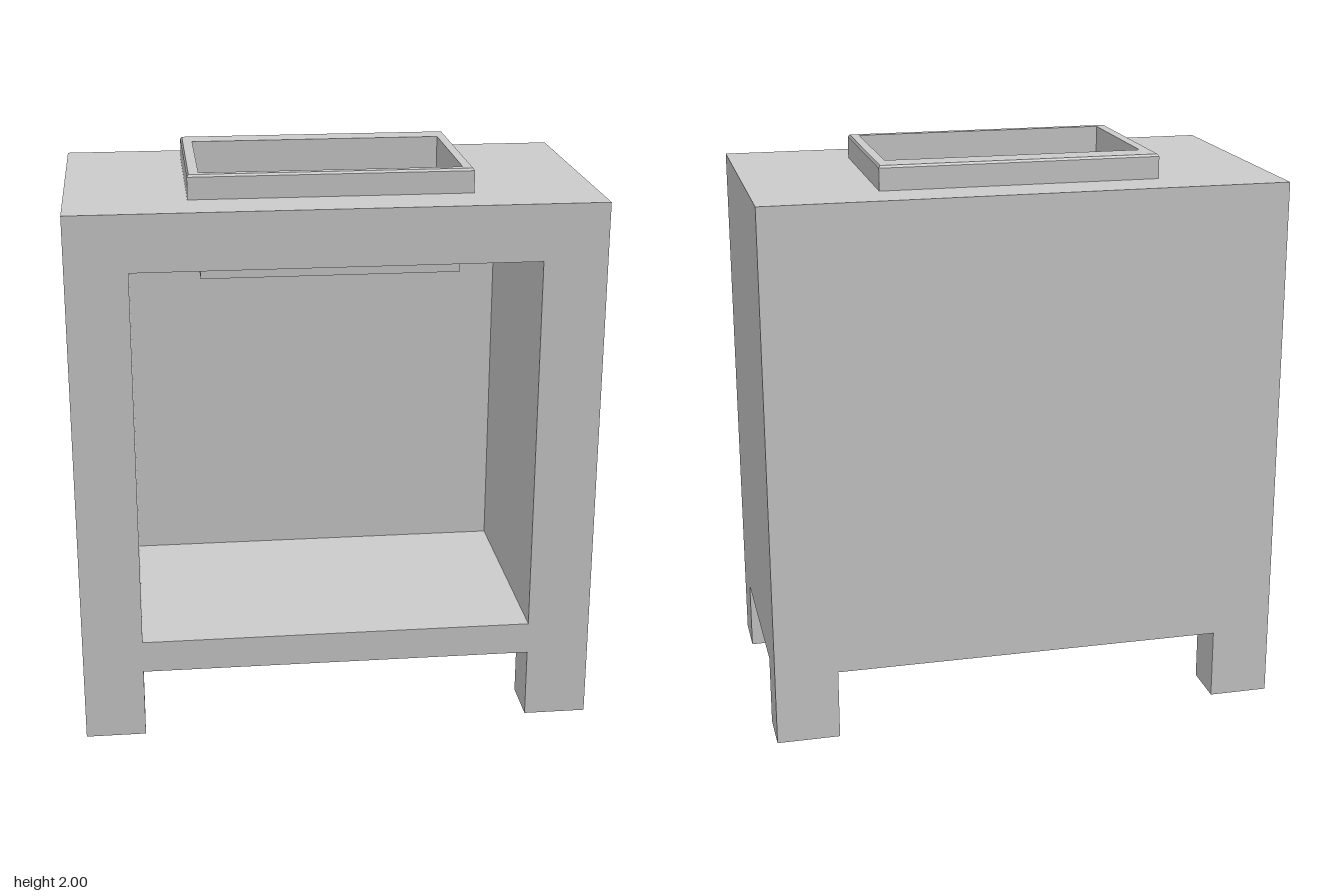
import * as THREE from 'three';

const W = 0.912, D = 0.505, TOP = 1.915, UNDER = 0.25;
const LEG = { x0: -0.70, x1: 0.69, z0: -0.337, z1: 0.325 };   // inner leg faces
const CAVITY = { y0: 0.365, y1: 1.717 };
const RIM = [-0.495, 0.482, -0.34, 0.32];                     // x0, x1, z0, z1
const BASIN = [-0.455, 0.445, -0.24, 0.287];

const solid = new THREE.MeshStandardMaterial({ color: 0xcccccc, flatShading: true });
const thin = new THREE.MeshStandardMaterial({ color: 0xcccccc, flatShading: true, side: THREE.DoubleSide });

const shapeOf = pts => new THREE.Shape(pts.map(([x, y]) => new THREE.Vector2(x, y)));
const rect = (x0, x1, y0, y1) => [[x0, y0], [x1, y0], [x1, y1], [x0, y1]];
// Plan rectangle for a panel that faces up, where local y is -z
const planRect = ([x0, x1, z0, z1]) => rect(x0, x1, -z1, -z0);

// Wall outline standing on two legs; a and b are the inner leg edges
const wall = (h, a, b) => [[-h, 0], [a, 0], [a, UNDER], [b, UNDER], [b, 0], [h, 0], [h, TOP], [-h, TOP]];

// Box keeping only the listed faces (0 +x, 1 -x, 2 +y, 3 -y, 4 +z, 5 -z)
function boxFaces(x0, x1, y0, y1, z0, z1, faces) {
  const g = new THREE.BoxGeometry(x1 - x0, y1 - y0, z1 - z0);
  g.translate((x0 + x1) / 2, (y0 + y1) / 2, (z0 + z1) / 2);
  const index = Array.from(g.index.array);
  g.setIndex(faces.flatMap(f => index.slice(f * 6, f * 6 + 6)));
  g.clearGroups();
  return g;
}

// Skin through rectangular loops [x0, x1, z0, z1, y], closed by a floor at the last one
function loftRects(loops) {
  const rings = loops.map(([x0, x1, z0, z1, y]) => [[x0, y, z1], [x1, y, z1], [x1, y, z0], [x0, y, z0]]);
  const pos = [];
  const quad = (a, b, c, d) => pos.push(...a, ...b, ...c, ...a, ...c, ...d);
  for (let i = 0; i < rings.length - 1; i++) {
    for (let k = 0; k < 4; k++) {
      const n = (k + 1) % 4;
      quad(rings[i][k], rings[i][n], rings[i + 1][n], rings[i + 1][k]);
    }
  }
  quad(...rings[rings.length - 1]);
  const g = new THREE.BufferGeometry();
  g.setAttribute('position', new THREE.Float32BufferAttribute(pos, 3));
  g.computeVertexNormals();
  return g;
}

export function createModel() {
  const model = new THREE.Group();
  model.name = 'sinkCabinet';
  const add = (name, geometry, material = solid) => {
    const mesh = new THREE.Mesh(geometry, material);
    mesh.name = name;
    model.add(mesh);
    return mesh;
  };
  const panel = (name, pts, hole) => {
    const s = shapeOf(pts);
    if (hole) s.holes.push(shapeOf(hole));
    return add(name, new THREE.ShapeGeometry(s));
  };

  // Outer walls, each running down into the legs
  panel('frontFrame', wall(W, LEG.x0, LEG.x1), rect(LEG.x0, LEG.x1, CAVITY.y0, CAVITY.y1)).position.z = D;
  const back = panel('backWall', wall(W, -LEG.x1, -LEG.x0));
  back.rotation.y = Math.PI;
  back.position.z = -D;
  const left = panel('leftWall', wall(D, -LEG.z1, -LEG.z0));
  left.rotation.y = Math.PI / 2;
  left.position.x = W;
  const right = panel('rightWall', wall(D, LEG.z0, LEG.z1));
  right.rotation.y = -Math.PI / 2;
  right.position.x = -W;

  // Worktop, open under the sink rim
  const top = panel('worktop', planRect([-W, W, -D, D]), planRect(RIM));
  top.rotation.x = -Math.PI / 2;
  top.position.y = TOP;

  // Underside, notched at the four legs
  const { x0, x1, z0, z1 } = LEG;
  const under = panel('underside', [
    [x0, -D], [x1, -D], [x1, z0], [W, z0], [W, z1], [x1, z1],
    [x1, D], [x0, D], [x0, z1], [-W, z1], [-W, z0], [x0, z0],
  ]);
  under.rotation.x = Math.PI / 2;
  under.position.y = UNDER;

  // Inner sides and soles of the legs
  for (const sx of [-1, 1]) {
    for (const sz of [-1, 1]) {
      const [xa, xb] = sx > 0 ? [x1, W] : [-W, x0];
      const [za, zb] = sz > 0 ? [z1, D] : [-D, z0];
      const name = (sz > 0 ? 'front' : 'back') + (sx > 0 ? 'Left' : 'Right') + 'Leg';
      add(name, boxFaces(xa, xb, 0, UNDER, za, zb, [sx > 0 ? 1 : 0, sz > 0 ? 5 : 4, 3]));
    }
  }

  // Cupboard interior, open at the front, with a ceiling cut out for the basin
  add('cupboardInterior', boxFaces(x0, x1, CAVITY.y0, CAVITY.y1, z0, D, [0, 1, 3, 5]), thin);
  const ceiling = panel('cupboardCeiling', planRect([x0, x1, z0, D]), planRect(BASIN));
  ceiling.material = thin;
  ceiling.rotation.x = -Math.PI / 2;
  ceiling.position.y = CAVITY.y1;

  // Raised rim with a slight bevel, continuing down into the basin
  const e = 0.006;
  const rimTop = [RIM[0] + e, RIM[1] - e, RIM[2] + e, RIM[3] - e];
  add('sinkBasin', loftRects([
    [...RIM, TOP], [...RIM, 1.992], [...rimTop, 2], [...BASIN, 2], [...BASIN, 1.63],
  ]), thin);

  return model;
}
